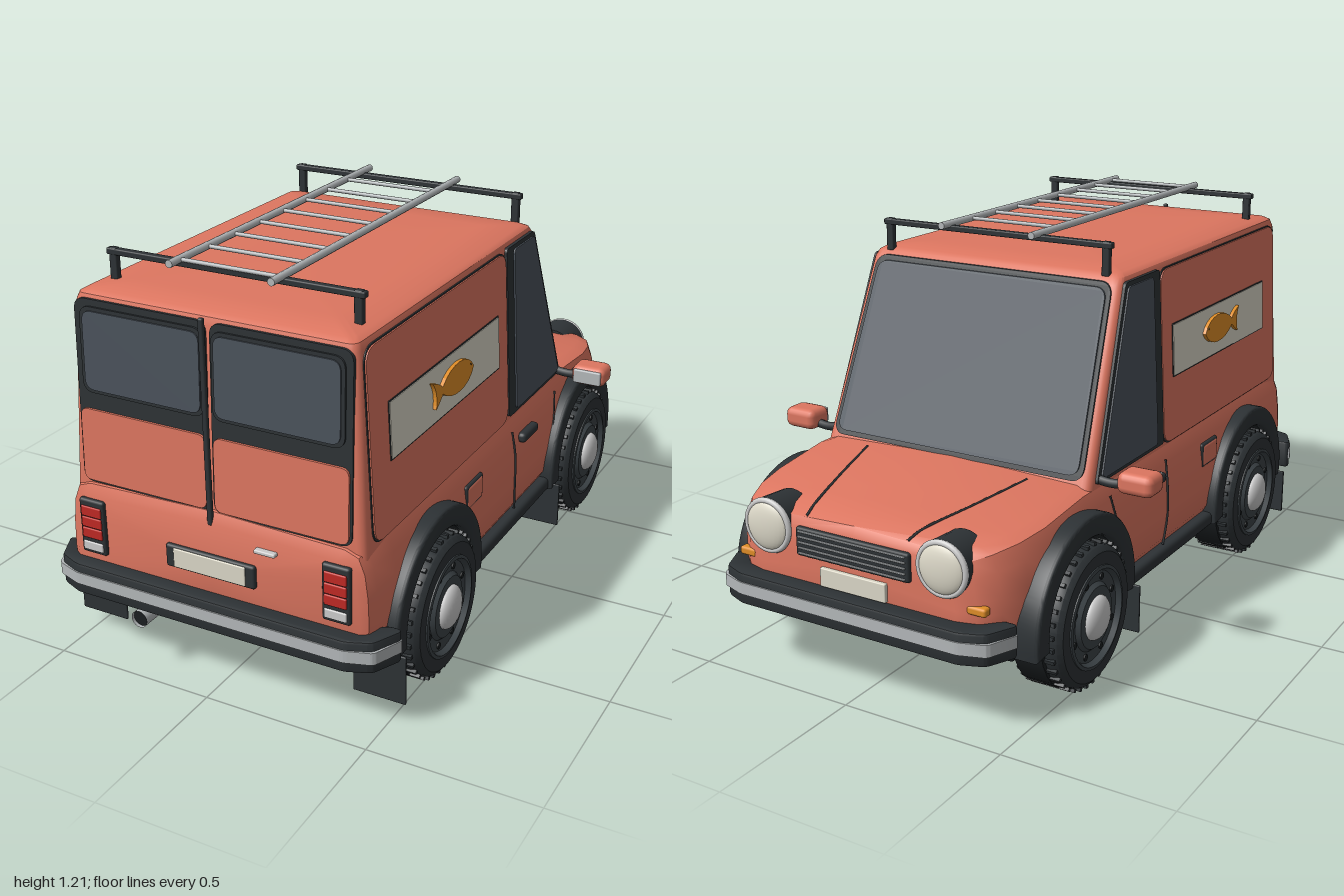
import * as THREE from 'three';
import { toCreasedNormals, mergeGeometries } from 'three/addons/utils/BufferGeometryUtils.js';
import { RoundedBoxGeometry } from 'three/addons/geometries/RoundedBoxGeometry.js';

const mat = (color, side = THREE.FrontSide) => new THREE.MeshStandardMaterial({ color, side });
const M = {
  paint: mat(0xdd7660), black: mat(0x2d3235), under: mat(0x1b1f21), glass: mat(0x4a525b), rim: mat(0x3c4347),
  silver: mat(0xb4b8ba), chrome: mat(0xd2d2d2), cream: mat(0xdcd8c8), red: mat(0xc02a25), amber: mat(0xdf8d28),
};
const V = (x, y, z) => new THREE.Vector3(x, y, z);

function add(parent, name, geo, m, x = 0, y = 0, z = 0) {
  const mesh = new THREE.Mesh(geo, m);
  mesh.name = name;
  mesh.position.set(x, y, z);
  parent.add(mesh);
  return mesh;
}
const box = (p, name, m, w, h, d, x, y, z, r = 0.008) =>
  add(p, name, new RoundedBoxGeometry(w, h, d, 2, Math.min(r, w / 2.1, h / 2.1, d / 2.1)), m, x, y, z);
const rod = (p, name, m, pts, r) =>
  add(p, name, new THREE.TubeGeometry(new THREE.CatmullRomCurve3(pts), 12, r, 8), m);

// Skin closed rings (counter-clockwise seen from the far end) and cap both ends
function loft(rings) {
  const n = rings[0].length, pos = [], idx = [], last = (rings.length - 1) * n;
  rings.forEach(r => r.forEach(p => pos.push(p.x, p.y, p.z)));
  for (let i = 0; i < rings.length - 1; i++)
    for (let j = 0; j < n; j++) {
      const a = i * n + j, b = i * n + (j + 1) % n;
      idx.push(a, b, b + n, a, b + n, a + n);
    }
  [rings[0], rings[rings.length - 1]].forEach((r, k) => {
    const c = r.reduce((s, p) => s.add(p), V(0, 0, 0)).divideScalar(n), ci = pos.length / 3;
    pos.push(c.x, c.y, c.z);
    for (let j = 0; j < n; j++) {
      const q = (j + 1) % n;
      if (k) idx.push(ci, last + j, last + q); else idx.push(ci, q, j);
    }
  });
  const g = new THREE.BufferGeometry();
  g.setAttribute('position', new THREE.Float32BufferAttribute(pos, 3));
  g.setIndex(idx);
  return toCreasedNormals(g, 0.6);
}

// Polygon with rounded corners
function poly(pts, r) {
  const s = new THREE.Shape(), P = pts.map(p => new THREE.Vector2(...p)), n = P.length;
  P.forEach((p, i) => {
    const toward = q => p.clone().add(q.clone().sub(p).setLength(r));
    const a = toward(P[(i + n - 1) % n]), b = toward(P[(i + 1) % n]);
    if (i) s.lineTo(a.x, a.y); else s.moveTo(a.x, a.y);
    s.quadraticCurveTo(p.x, p.y, b.x, b.y);
  });
  s.closePath();
  return s;
}
const rect = (x0, y0, x1, y1, r) => poly([[x0, y0], [x1, y0], [x1, y1], [x0, y1]], r);

// Leaning walls of the cabin: panels are drawn flat, then laid on a wall
const sideX = y => 0.46 - (y - 0.545) * 0.054;
const rearZ = y => 0.925 - (y - 0.545) * 0.03;
const frontZ = y => -0.465 + (y - 0.545) * 0.415;
const onSide = (u, v, w) => [sideX(v) + w, v, -u];
const onRear = (u, v, w) => [u, v, rearZ(v) + w];
const onFront = (u, v, w) => [-u, v, frontZ(v) - w];
function panel(p, name, m, shape, wall, height) {
  const g = new THREE.ExtrudeGeometry(shape, { depth: height + 0.01, bevelEnabled: false, curveSegments: 8 });
  const a = g.attributes.position;
  for (let i = 0; i < a.count; i++) a.setXYZ(i, ...wall(a.getX(i), a.getY(i), a.getZ(i) - 0.01));
  g.computeVertexNormals();
  return add(p, name, g, m);
}

function makeBody(van) {
  // z, half width, top height, bottom height
  const stations = [[-0.94, 0.33, 0.465, 0.25], [-0.925, 0.385, 0.488, 0.22], [-0.88, 0.435, 0.505, 0.2], [-0.8, 0.468, 0.516, 0.19],
    [-0.7, 0.485, 0.527, 0.19], [-0.5, 0.49, 0.55, 0.19], [0.8, 0.49, 0.55, 0.19], [0.9, 0.485, 0.55, 0.19],
    [0.932, 0.475, 0.54, 0.2], [0.945, 0.455, 0.51, 0.22]];
  van.add(add(van, 'lowerBody', loft(stations.map(([z, w, t, b]) => {
    const half = [[w - 0.04, b], [w - 0.005, b + 0.06], [w, 0.33], [w - 0.003, t - 0.13], [w - 0.012, t - 0.06],
      [w - 0.03, t - 0.015], [w - 0.07, t]];
    return [V(0, b, z), ...half.map(([x, y]) => V(x, y, z)), V(0, t + 0.012, z), ...half.reverse().map(([x, y]) => V(-x, y, z))];
  })), M.paint));
  // Cabin: rounded rectangles stacked upward, ending in a gently crowned roof
  const levels = [[0.5, 0], [0.545, 0], [1.075, 0], [1.095, 0.006], [1.105, 0.022], [1.112, 0.12], [1.118, 0.28]];
  add(van, 'cabin', loft(levels.map(([y, inset]) => {
    const w = sideX(y) - inset, z0 = frontZ(y) + inset, z1 = rearZ(y) - inset, r = 0.025, ring = [];
    [[w, z1, 0], [w, z0, 1], [-w, z0, 2], [-w, z1, 3]].forEach(([x, z, q]) => {
      for (let k = 0; k <= 4; k++) {
        const a = (q + k / 4) * Math.PI / 2;
        ring.push(V(x - Math.sign(x) * r + r * Math.cos(a - Math.PI / 2), y, 0) .setZ(z + (q === 1 || q === 2 ? r : -r) - r * Math.sin(a - Math.PI / 2)));
      }
    });
    return ring;
  })), M.paint);
  box(van, 'floor', M.under, 0.88, 0.03, 1.7, 0, 0.188, 0.01);
  panel(van, 'windscreenSeal', M.black, poly([[-0.437, 0.56], [0.437, 0.56], [0.408, 1.085], [-0.408, 1.085]], 0.04), onFront, 0.006);
  panel(van, 'windscreen', M.glass, poly([[-0.422, 0.575], [0.422, 0.575], [0.395, 1.07], [-0.395, 1.07]], 0.035), onFront, 0.012);
}

// Everything on the +x flank; copied mirrored for the other one
function makeSide() {
  const s = new THREE.Group();
  panel(s, 'cargoPanelSeam', M.black, rect(-0.884, 0.538, 0.004, 1.08, 0.05), onSide, 0.003);
  panel(s, 'cargoPanel', M.paint, rect(-0.88, 0.542, 0, 1.076, 0.05), onSide, 0.007);
  panel(s, 'signFrame', M.black, rect(-0.778, 0.737, -0.067, 0.903, 0.004), onSide, 0.009);
  panel(s, 'sign', M.cream, rect(-0.774, 0.741, -0.071, 0.899, 0.003), onSide, 0.011);
  // Fish on the sign
  const fish = new THREE.Shape();
  fish.moveTo(-0.545, 0.865);
  fish.quadraticCurveTo(-0.505, 0.855, -0.485, 0.835);
  fish.bezierCurveTo(-0.43, 0.885, -0.31, 0.88, -0.28, 0.825);
  fish.bezierCurveTo(-0.31, 0.77, -0.43, 0.77, -0.485, 0.815);
  fish.quadraticCurveTo(-0.51, 0.795, -0.53, 0.785);
  fish.quadraticCurveTo(-0.515, 0.83, -0.545, 0.865);
  panel(s, 'fish', M.amber, fish, onSide, 0.022);
  panel(s, 'fishEye', M.black, new THREE.Shape().absarc(-0.31, 0.835, 0.008, 0, 7), onSide, 0.025);
  panel(s, 'sideWindowFrame', M.black, poly([[0.006, 0.548], [0.432, 0.548], [0.222, 1.083], [0.006, 1.083]], 0.015), onSide, 0.008);
  panel(s, 'sideWindow', M.glass, poly([[0.055, 0.56], [0.41, 0.56], [0.212, 1.07], [0.055, 1.07]], 0.015), onSide, 0.013);
  // Door seams, handle and fuel flap
  rod(s, 'rearDoorSeam', M.black, [V(0.476, 0.5, -0.01), V(0.488, 0.42, -0.015), V(0.49, 0.32, -0.015), V(0.485, 0.23, -0.03)], 0.004);
  rod(s, 'frontDoorSeam', M.black, [V(0.476, 0.5, -0.37), V(0.488, 0.4, -0.34), V(0.49, 0.32, -0.31), V(0.485, 0.23, -0.29)], 0.004);
  box(s, 'doorHandle', M.black, 0.03, 0.032, 0.115, 0.49, 0.462, -0.11, 0.012);
  box(s, 'fuelFlapSeam', M.black, 0.02, 0.08, 0.116, 0.48, 0.435, 0.295);
  box(s, 'fuelFlap', M.paint, 0.024, 0.07, 0.106, 0.48, 0.435, 0.295);
  box(s, 'sill', M.black, 0.06, 0.045, 0.62, 0.475, 0.205, 0.005, 0.015);
  // Mirror
  rod(s, 'mirrorArm', M.black, [V(0.44, 0.562, -0.41), V(0.5, 0.555, -0.41), V(0.56, 0.56, -0.405)], 0.014);
  box(s, 'mirrorShell', M.paint, 0.112, 0.064, 0.09, 0.588, 0.573, -0.405, 0.022);
  box(s, 'mirrorGlass', M.silver, 0.092, 0.046, 0.012, 0.588, 0.573, -0.361, 0.005);
  for (const [end, z] of [['rear', 0.575], ['front', -0.56]]) {
    makeWheel(s, end + 'Wheel', z);
    // Wheel arch flare
    const arch = new THREE.Shape();
    arch.absarc(0, 0, 0.272, -0.1, Math.PI + 0.1, false);
    arch.absarc(0, 0, 0.226, Math.PI + 0.1, -0.1, true);
    const g = new THREE.ExtrudeGeometry(arch, { depth: 0.07, bevelSize: 0.01, bevelThickness: 0.012, bevelSegments: 3, curveSegments: 32 });
    add(s, end + 'WheelArch', toCreasedNormals(g.rotateY(Math.PI / 2), 0.6), M.black, 0.437, 0.225, z);
    const well = new THREE.CylinderGeometry(0.235, 0.235, 0.09, 32, 1, false, 0, Math.PI).rotateZ(Math.PI / 2);
    well.rotateX(well.boundingBox ? 0 : -Math.PI / 2);
    add(s, end + 'WheelWell', new THREE.CylinderGeometry(0.23, 0.23, 0.09, 32).rotateZ(Math.PI / 2), M.under, 0.449, 0.235, z);
    box(s, end + 'MudFlap', M.black, 0.16, 0.15, 0.008, 0.46, 0.13, z + 0.268, 0.003);
  }
  // Roof rack post ends
  for (const z of [0.79, -0.22]) box(s, 'rackPost', M.black, 0.024, 0.1, 0.02, 0.375, 1.145, z, 0.004);
  // Tail light
  box(s, 'tailLightHousing', M.black, 0.084, 0.17, 0.025, 0.39, 0.416, 0.945);
  for (let i = 0; i < 3; i++) box(s, 'tailLight', M.red, 0.068, 0.032, 0.02, 0.39, 0.465 - i * 0.034, 0.952, 0.004);
  box(s, 'reverseLight', M.chrome, 0.068, 0.028, 0.02, 0.39, 0.356, 0.952, 0.004);
  // Rear door half
  panel(s, 'rearDoorSeal', M.black, rect(0.006, 0.548, 0.425, 1.085, 0.035), onRear, 0.005);
  panel(s, 'rearDoor', M.paint, rect(0.013, 0.556, 0.418, 0.77, 0.025), onRear, 0.012);
  panel(s, 'rearWindowSeal', M.black, rect(0.013, 0.82, 0.405, 1.066, 0.035), onRear, 0.011);
  panel(s, 'rearWindow', M.glass, rect(0.022, 0.83, 0.394, 1.055, 0.03), onRear, 0.015);
  // Headlight, indicator and bonnet seam
  add(s, 'headlightHousing', new THREE.CylinderGeometry(0.08, 0.074, 0.11, 28).rotateX(-Math.PI / 2), M.black, 0.292, 0.45, -0.89);
  add(s, 'headlightRing', new THREE.TorusGeometry(0.073, 0.009, 8, 32), M.chrome, 0.292, 0.45, -0.945);
  add(s, 'headlightLens', new THREE.SphereGeometry(0.072, 24, 16).scale(1, 1, 0.32), M.cream, 0.292, 0.45, -0.945);
  box(s, 'indicator', M.amber, 0.06, 0.025, 0.03, 0.385, 0.345, -0.918);
  rod(s, 'bonnetSeam', M.black, [V(0.28, 0.553, -0.5), V(0.23, 0.532, -0.7), V(0.18, 0.511, -0.88), V(0.17, 0.495, -0.925)], 0.004);
  return s;
}

function makeWheel(parent, name, z) {
  const w = new THREE.Group();
  w.name = name;
  w.position.set(0.46, 0.215, z);
  parent.add(w);
  const turn = pts => toCreasedNormals(new THREE.LatheGeometry(pts.map(p => new THREE.Vector2(...p)), 40).rotateZ(-Math.PI / 2), 0.6);
  add(w, 'tyre', turn([[0, -0.078], [0.185, -0.08], [0.202, -0.068], [0.209, -0.045], [0.21, 0], [0.209, 0.045], [0.202, 0.068],
    [0.187, 0.08], [0.15, 0.08], [0.142, 0.06]]), M.black);
  const blocks = [];
  for (let i = 0; i < 72; i++)
    blocks.push(new THREE.BoxGeometry(0.06, 0.01, 0.011).translate((i % 2 ? 1 : -1) * 0.034, 0.21, 0).rotateX(i * Math.PI / 36));
  add(w, 'tread', mergeGeometries(blocks), M.black);
  add(w, 'rim', turn([[0.15, 0.06], [0.15, 0.084], [0.14, 0.086], [0.132, 0.07], [0.1, 0.068], [0.09, 0.08], [0, 0.08]]), M.rim);
  for (let i = 0; i < 8; i++) {
    const a = (i + 0.5) * Math.PI / 4;
    add(w, 'rimHole', new THREE.CylinderGeometry(0.01, 0.01, 0.006, 12).rotateZ(Math.PI / 2), M.under, 0.07, 0.115 * Math.sin(a), 0.115 * Math.cos(a));
  }
  add(w, 'hubCap', new THREE.SphereGeometry(0.065, 28, 16).scale(0.45, 1, 1), M.chrome, 0.08, 0, 0);
}

// Wraparound bumper drawn in plan, with a bright strip; dir is +1 rear, -1 front
function makeBumper(van, name, dir, w) {
  const plan = d => poly([[-w - d, 0.875], [-w + 0.04 - d, 0.962 + d], [-w + 0.11, 0.988 + d], [w - 0.11, 0.988 + d], [w - 0.04 + d, 0.962 + d],
    [w + d, 0.875], [w - 0.04, 0.875], [w - 0.085, 0.925], [-w + 0.085, 0.925], [-w + 0.04, 0.875]], 0.012);
  const slab = (d, h, b) => {
    const g = new THREE.ExtrudeGeometry(plan(d), { depth: h - 2 * b, bevelEnabled: b > 0, bevelSize: b, bevelThickness: b, bevelSegments: 2 });
    return toCreasedNormals(g.translate(0, 0, b - h / 2).rotateX(Math.PI / 2).rotateY(dir > 0 ? 0 : Math.PI), 0.6);
  };
  add(van, name, slab(-0.004, 0.095, 0.008), M.black, 0, 0.26, 0);
  add(van, name + 'Strip', slab(0.008, 0.036, 0), M.silver, 0, 0.263, 0);
}

export function createModel() {
  const van = new THREE.Group();
  van.name = 'deliveryVan';
  makeBody(van);
  const left = makeSide();
  left.name = 'leftParts';
  const right = makeSide();
  right.name = 'rightParts';
  right.scale.x = -1;
  van.add(left, right);
  makeBumper(van, 'rearBumper', 1, 0.54);
  makeBumper(van, 'frontBumper', -1, 0.475);
  box(van, 'frontValance', M.black, 0.72, 0.05, 0.06, 0, 0.2, -0.86);
  // Rear details
  box(van, 'rearDoorBar', M.black, 0.016, 0.59, 0.014, 0, 0.81, 0.94, 0.005);
  box(van, 'rearHandle', M.chrome, 0.065, 0.012, 0.02, 0.178, 0.482, 0.952, 0.004);
  box(van, 'rearPlateHolder', M.black, 0.286, 0.07, 0.02, 0, 0.394, 0.947);
  box(van, 'rearPlate', M.cream, 0.23, 0.058, 0.02, 0, 0.394, 0.951, 0.003);
  add(van, 'exhaust', new THREE.CylinderGeometry(0.026, 0.026, 0.11, 20, 1, true).rotateX(Math.PI / 2), mat(0xb4b8ba, THREE.DoubleSide), -0.235, 0.17, 0.92);
  add(van, 'exhaustBore', new THREE.CircleGeometry(0.025, 20), M.under, -0.235, 0.17, 0.965);
  // Grille and front plate
  box(van, 'grille', M.black, 0.38, 0.085, 0.03, 0, 0.428, -0.938);
  for (let i = 0; i < 5; i++) box(van, 'grilleSlat', M.silver, 0.36, 0.005, 0.01, 0, 0.396 + i * 0.016, -0.953, 0.002);
  box(van, 'frontPlate', M.cream, 0.22, 0.055, 0.02, 0, 0.338, -0.942, 0.003);
  // Roof bars and ladder
  for (const z of [0.79, -0.22]) box(van, 'rackBar', M.black, 0.79, 0.018, 0.022, 0, 1.184, z, 0.004);
  for (const x of [-0.155, 0.155])
    add(van, 'ladderRail', new THREE.CylinderGeometry(0.011, 0.011, 1.12, 12).rotateX(Math.PI / 2), M.silver, x, 1.197, 0.29);
  for (let i = 0; i < 8; i++)
    add(van, 'ladderRung', new THREE.CylinderGeometry(0.006, 0.006, 0.31, 10).rotateZ(Math.PI / 2), M.silver, 0, 1.197, -0.108 + i * 0.13);
  return van;
}
